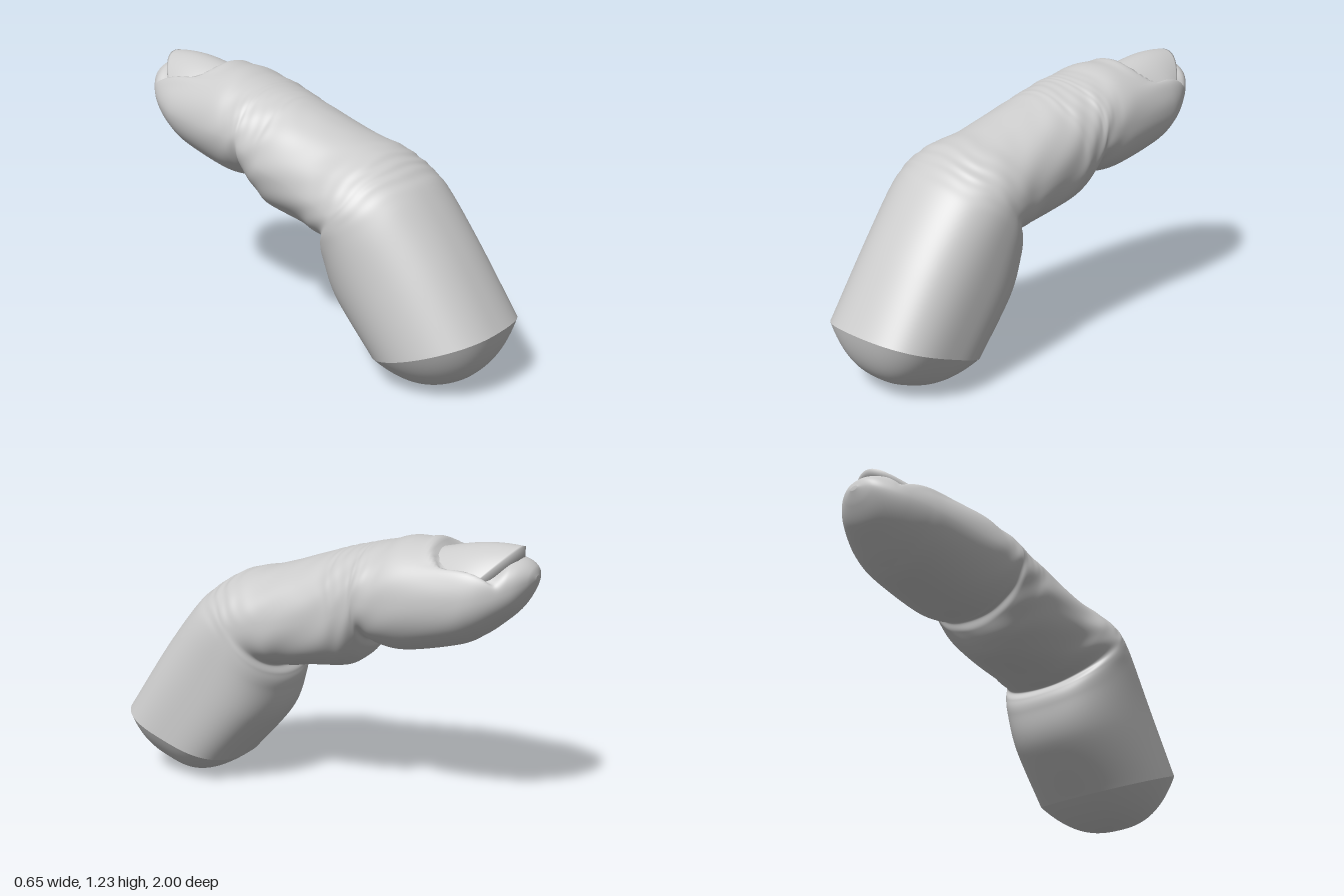
import * as THREE from 'three';

const AROUND = 128;
const skin = new THREE.MeshStandardMaterial({ color: 0xcccccc });
const nailMaterial = new THREE.MeshStandardMaterial({ color: 0xcccccc, side: THREE.DoubleSide });
const { lerp, smoothstep } = THREE.MathUtils;

// Cross-sections from the cut base to the tip:
// back-of-finger z, y; pad-side z, y; right x, left x
const SECTIONS = [
  [1, .32, .43, .10, -.305, .32],
  [.8, .62, .235, .32, -.315, .32],
  [.63, .84, .18, .47, -.325, .32],
  [.54, .92, .178, .535, -.33, .317],
  [.47, .965, .195, .575, -.325, .312],
  [.38, 1.005, .13, .582, -.31, .307],
  [.22, 1.04, .05, .595, -.28, .297],
  [-.04, 1.122, -.12, .615, -.265, .292],
  [-.13, 1.15, -.20, .655, -.255, .297],
  [-.22, 1.172, -.25, .715, -.25, .30],
  [-.27, 1.185, -.27, .76, -.245, .305],
  [-.34, 1.20, -.33, .737, -.24, .31],
  [-.45, 1.225, -.45, .732, -.23, .315],
  [-.68, 1.21, -.68, .785, -.195, .31],
  [-.79, 1.20, -.78, .835, -.168, .295],
  [-.88, 1.185, -.86, .895, -.125, .258],
  [-.945, 1.172, -.93, .96, -.068, .212],
  [-.985, 1.145, -.975, 1.03, -.012, .155],
  [-1, 1.11, -1, 1.09, .06, .10],
];
const LAST = SECTIONS.length - 1;

// Smooth interpolation between the cross-sections
function sectionAt(t) {
  const i = Math.min(Math.floor(t), LAST - 1), f = t - i;
  const at = (k) => SECTIONS[Math.min(Math.max(k, 0), LAST)];
  const [a, b, c, d] = [at(i - 1), at(i), at(i + 1), at(i + 2)];
  return b.map((v, k) => v + 0.5 * f * (c[k] - a[k]
    + f * (2 * a[k] - 5 * v + 4 * c[k] - d[k] + f * (3 * (v - c[k]) + d[k] - a[k]))));
}

// Point on the cross-section at t, squarer towards the base and on the left;
// angle 0 is the back of the finger, +90 degrees its left
function ringPoint(t, angle, scale) {
  const [tz, ty, bz, by, x0, x1] = sectionAt(t);
  const squareness = 2.05 + 0.15 * Math.sin(angle)
    + (0.4 + 0.25 * Math.sin(angle)) * Math.max(0, 1 - t / 4);
  const power = (v) => Math.sign(v) * Math.abs(v) ** (2 / squareness) * scale;
  const up = power(Math.cos(angle)), side = power(Math.sin(angle));
  return new THREE.Vector3(
    (x0 + x1) / 2 + side * (x1 - x0) / 2,
    (ty + by) / 2 + up * (ty - by) / 2,
    (tz + bz) / 2 + up * (tz - bz) / 2);
}

// Grid surface from a point rule, optionally wrapped round on itself
function gridGeometry(rows, cols, wrap, pointAt) {
  const positions = [], index = [];
  const width = wrap ? cols : cols + 1;
  for (let i = 0; i <= rows; i++)
    for (let j = 0; j < width; j++) positions.push(...pointAt(i, j).toArray());
  for (let i = 0; i < rows; i++)
    for (let j = 0; j < cols; j++) {
      const a = i * width + j, b = i * width + (j + 1) % width;
      index.push(a, b, a + width, b, b + width, a + width);
    }
  const geometry = new THREE.BufferGeometry();
  geometry.setAttribute('position', new THREE.Float32BufferAttribute(positions, 3));
  geometry.setIndex(index);
  geometry.computeVertexNormals();
  return geometry;
}

const bump = (t, centre, width) => Math.exp(-(((t - centre) / width) ** 2));

// Skin folds, strongest over the joints
function wrinkle(t, angle) {
  const back = Math.max(0, Math.cos(angle)), pad = Math.max(0, -Math.cos(angle));
  const flank = Math.abs(Math.sin(angle));
  const wave = Math.sin(t * 8.5 + 1.3 * Math.sin(angle * 3) + 0.6 * Math.sin(angle * 7 + t));
  const fine = Math.sin(t * 11 + 2 * Math.sin(angle * 4 + t * 0.7));
  return back * (0.008 * bump(t, 4.2, 1.4) * wave + 0.004 * bump(t, 8.5, 2.2) * fine)
    + flank * 0.007 * bump(t, 8, 3.5) * Math.sin(t * 4 + angle * 9)
    + pad * 0.006 * bump(t, 7, 3.5) * Math.sin(t * 3 + angle * 6);
}

// Sunken bed that holds the nail, with a slight fold around it
function nailBed(p) {
  const u = Math.abs(p.x - 0.08) / 0.17;
  const cuticle = -0.58 - 0.06 * u ** 4;
  const inside = (1 - smoothstep(u, 0.92, 1.08)) * smoothstep(cuticle - p.z, -0.012, 0.02)
    * (1 - smoothstep(-p.z, 0.84, 0.92));
  const fold = bump(u, 1.15, 0.12) * bump(p.z, -0.72, 0.13)
    + bump(p.z, cuticle + 0.035, 0.03) * Math.max(0, 1 - u * u);
  p.y += smoothstep(p.y, 1.02, 1.1) * (0.012 * fold - 0.035 * inside);
}

// Skin from base to tip; the extra last row closes the tip
function makeFinger() {
  const rows = 264;
  return gridGeometry(rows + 1, AROUND, true, (i, j) => {
    const t = Math.min(i / rows, 1) * LAST, angle = j / AROUND * Math.PI * 2;
    const p = ringPoint(t, angle, i > rows ? 0 : 1 + wrinkle(t, angle));
    nailBed(p);
    return p;
  });
}

// Rounded cap over the cut end
function makeBaseCap() {
  const rows = 24;
  return gridGeometry(rows, AROUND, true, (i, j) => {
    const r = i / rows;
    const bulge = 0.19 * (1 - r ** 2.5);
    return ringPoint(0, j / AROUND * Math.PI * 2, r)
      .add(new THREE.Vector3(0, -0.93 * bulge, 0.36 * bulge));
  });
}

// Arched nail plate with a thick free edge tucked under at the front
function makeNail() {
  const rows = 30, cols = 32;
  return gridGeometry(rows + 2, cols, false, (i, j) => {
    const u = j / cols * 2 - 1, v = Math.min(i / rows, 1);
    const start = -0.58 - 0.06 * u ** 4, end = -0.935 + 0.12 * u * u;
    const crown = 1.195 + 0.035 * Math.sin(v * 2.2);
    const p = new THREE.Vector3(0.08 + 0.172 * u, crown - 0.115 * u * u, lerp(start, end, v));
    if (i > rows) p.y -= 0.045;
    if (i > rows + 1) p.z += 0.05;
    return p;
  });
}

export function createModel() {
  const group = new THREE.Group();
  group.name = 'finger';
  const add = (name, geometry, material) => {
    const mesh = new THREE.Mesh(geometry, material);
    mesh.name = name;
    group.add(mesh);
  };
  add('fingerSkin', makeFinger(), skin);
  add('baseCap', makeBaseCap(), skin);
  add('nail', makeNail(), nailMaterial);
  return group;
}
